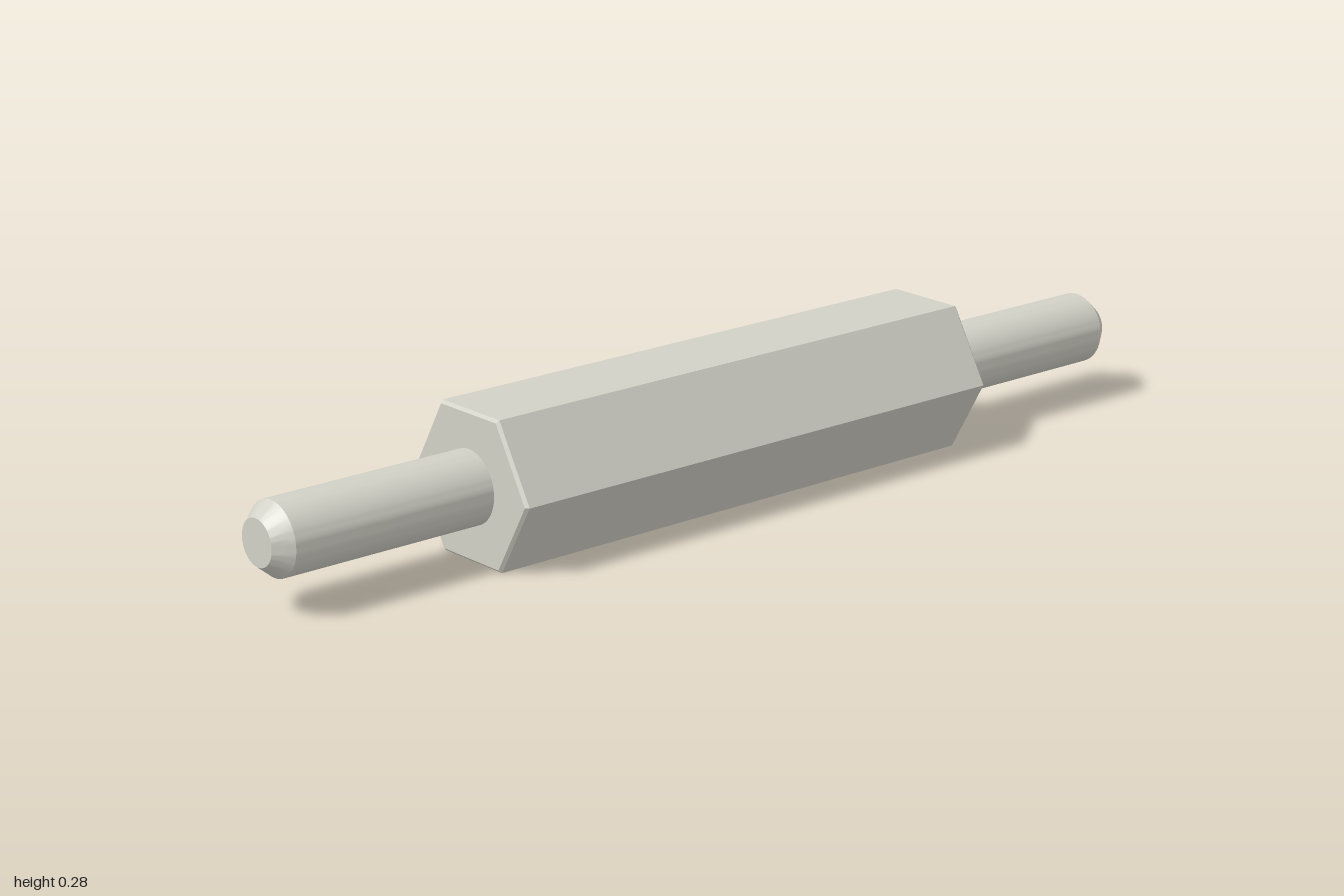
import * as THREE from 'three';
import { toCreasedNormals } from 'three/addons/utils/BufferGeometryUtils.js';

// Solid of revolution about the x axis from [radius, position] pairs
function turned(profile, sides) {
  const points = profile.map(([r, p]) => new THREE.Vector2(r, p));
  const geometry = new THREE.LatheGeometry(points, sides).rotateZ(-Math.PI / 2);
  return toCreasedNormals(geometry, 0.5);
}

export function createModel() {
  const model = new THREE.Group();
  model.name = 'hexStandoff';
  const metal = new THREE.MeshStandardMaterial({ color: 0xd2d1c7 });
  metal.name = 'greyMetal';

  const apothem = 0.141;
  const corner = apothem / Math.cos(Math.PI / 6);
  const bevel = 0.006;
  const half = 0.561;

  // Hexagonal body with a small bevel around both end faces
  const body = new THREE.Mesh(turned([
    [0, -half], [corner - bevel, -half], [corner, -half + bevel],
    [corner, half - bevel], [corner - bevel, half], [0, half],
  ], 6), metal);
  body.name = 'hexBody';
  model.add(body);

  // Round studs with chamfered tips, one at each end
  const studGeometry = turned([
    [0.07, half - 0.01], [0.07, 0.981], [0.044, 1.013], [0, 1.013],
  ], 64);
  for (const [name, turn] of [['leftStud', 0], ['rightStud', Math.PI]]) {
    const stud = new THREE.Mesh(studGeometry, metal);
    stud.name = name;
    stud.rotation.y = turn;
    model.add(stud);
  }

  // Lie on one flat, turned slightly about the vertical
  model.position.y = apothem;
  model.rotation.y = -THREE.MathUtils.degToRad(12.1);
  return model;
}
